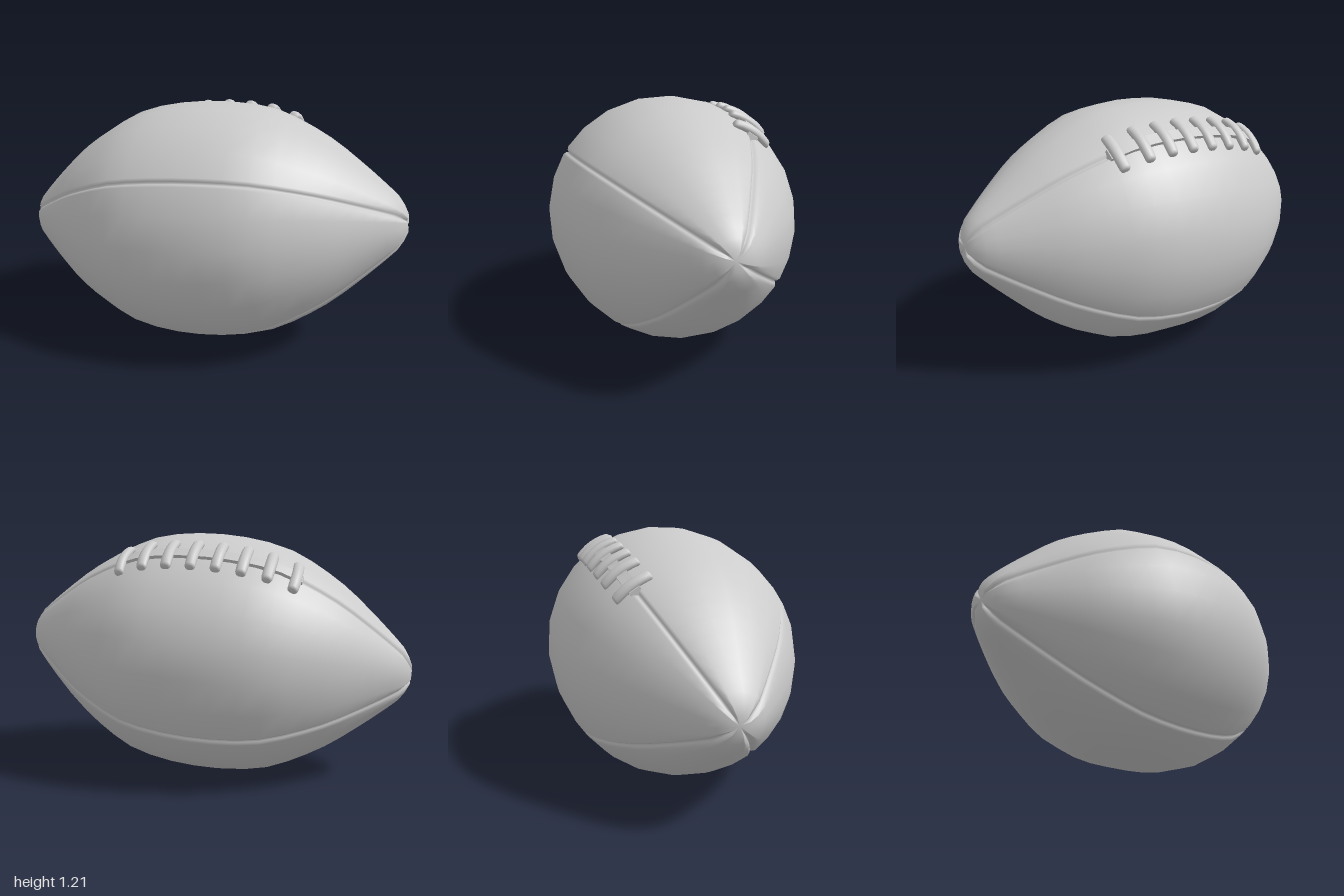
import * as THREE from 'three';
import { mergeVertices } from 'three/addons/utils/BufferGeometryUtils.js';

const material = new THREE.MeshStandardMaterial({ color: 0xcccccc, side: THREE.DoubleSide });

// Half profile (distance along the long axis, radius), mirrored into a full one
const half = [[1.002, 0], [0.995, 0.05], [0.975, 0.092], [0.94, 0.14], [0.775, 0.288],
  [0.6, 0.424], [0.375, 0.547], [0.2, 0.591]];
const profile = new THREE.SplineCurve([
  ...half.map(([s, r]) => new THREE.Vector2(-s, r)),
  new THREE.Vector2(0, 0.605),
  ...half.slice().reverse().map(([s, r]) => new THREE.Vector2(s, r)),
]);
const samples = profile.getSpacedPoints(600);
const radiusAt = (s) => samples.find((p) => p.x >= s).y;

// Four-panel skin, with a rounded groove along each seam
function skinGeometry() {
  const rings = 30, perPanel = 6;
  // [fraction of panel, sideways distance from the seam, depth]
  const columns = [];
  for (let panel = 0; panel < 4; panel++) {
    const base = panel * Math.PI / 2;
    columns.push([base, 0, 0.018], [base, 0.007, 0.008], [base, 0.022, 0]);
    for (let i = 1; i < perPanel; i++) columns.push([base + i / perPanel * Math.PI / 2, 0, 0]);
    const next = base + Math.PI / 2;
    columns.push([next, -0.022, 0], [next, -0.007, 0.008]);
  }
  const n = columns.length, positions = [], indices = [];
  for (let i = 0; i <= rings; i++) {
    // closer rings towards the two tips
    const t = i / rings, u = t - 0.07 * Math.sin(2 * Math.PI * t);
    const p = profile.getPointAt(u), tan = profile.getTangentAt(u);
    const tip = i === 0 || i === rings;
    for (const [base, side, depth] of columns) {
      const r = Math.max(p.y, 0.0001);
      const angle = base + Math.sign(side) * Math.min(Math.abs(side) / r, Math.abs(side) * 10);
      const d = tip ? 0.012 : depth;
      const radius = tip ? 0 : Math.max(p.y - d * tan.x, 0);
      const x = tip ? p.x - Math.sign(p.x) * d : p.x + d * tan.y;
      positions.push(x, radius * Math.cos(angle), radius * Math.sin(angle));
    }
  }
  for (let i = 0; i < rings; i++) {
    for (let j = 0; j < n; j++) {
      const a = i * n + j, b = i * n + (j + 1) % n, c = a + n, d = b + n;
      if (i > 0) indices.push(a, b, c);
      if (i < rings - 1) indices.push(b, d, c);
      else indices.push(a, b, c);
      if (i === 0) indices.push(a, b, d);
    }
  }
  // keep one triangle per column at each tip
  const clean = [];
  for (let k = 0; k < indices.length; k += 3) {
    const tri = indices.slice(k, k + 3);
    const atTip = (v) => v < n || v >= rings * n;
    const first = tri.filter(atTip);
    if (first.length < 2) clean.push(...tri);
  }
  for (let j = 0; j < n; j++) {
    const k = (j + 1) % n;
    const last = (rings - 1) * n;
    clean.push(last + j, last + k, rings * n + j);
  }
  const geometry = new THREE.BufferGeometry();
  geometry.setAttribute('position', new THREE.Float32BufferAttribute(positions, 3));
  geometry.setIndex([...new Map(triples(clean)).values()].flat());
  const merged = mergeVertices(geometry, 1e-5);
  merged.computeVertexNormals();
  return merged;
}

// Triangles keyed by their corners, so repeats drop out
function triples(list) {
  const out = [];
  for (let k = 0; k < list.length; k += 3) {
    const tri = list.slice(k, k + 3);
    out.push([tri.slice().sort((a, b) => a - b).join(), tri]);
  }
  return out;
}

// Plump cross lace with blunt ends, bent over the skin
function laceGeometry() {
  const ends = [[0, 0.1], [0.017, 0.1], [0.023, 0.096], [0.026, 0.088], [0.027, 0.06], [0.027, 0.03]];
  const points = [
    ...ends.map(([r, z]) => new THREE.Vector2(r, -z)),
    new THREE.Vector2(0.027, 0),
    ...ends.slice().reverse().map(([r, z]) => new THREE.Vector2(r, z)),
  ];
  let geometry = new THREE.LatheGeometry(points, 12);
  geometry.rotateX(Math.PI / 2);
  geometry.scale(1, 0.8, 1);
  const pos = geometry.attributes.position;
  for (let i = 0; i < pos.count; i++) pos.setY(i, pos.getY(i) - 1.8 * pos.getZ(i) ** 2);
  geometry.deleteAttribute('uv');
  geometry.deleteAttribute('normal');
  geometry = mergeVertices(geometry, 1e-5);
  geometry.computeVertexNormals();
  return geometry;
}

// Flat strip along the seam, following the curve of the skin
function stripGeometry() {
  const geometry = new THREE.BoxGeometry(0.9, 0.03, 0.056, 18, 1, 1);
  const pos = geometry.attributes.position;
  for (let i = 0; i < pos.count; i++) pos.setY(i, pos.getY(i) + radiusAt(pos.getX(i)));
  geometry.computeVertexNormals();
  return geometry;
}

export function createModel() {
  const model = new THREE.Group();
  model.name = 'ball';
  const add = (geometry, name) => {
    const mesh = new THREE.Mesh(geometry, material);
    mesh.name = name;
    model.add(mesh);
    return mesh;
  };

  add(skinGeometry(), 'panelledSkin');
  add(stripGeometry(), 'laceStrip');

  // Eight cross laces, each square to the skin
  const lace = laceGeometry();
  for (let i = 0; i < 8; i++) {
    const s = (i - 3.5) * 0.119;
    const slope = Math.atan((radiusAt(s + 0.03) - radiusAt(s - 0.03)) / 0.06);
    const mesh = add(lace, 'crossLace' + (i + 1));
    mesh.position.set(s - Math.sin(slope) * 0.016, radiusAt(s) + 0.016 * Math.cos(slope), 0);
    mesh.rotation.z = slope;
  }

  // Laces rolled to the back, long axis tipped slightly
  model.rotation.set(-0.6, 0, 0.087, 'ZYX');
  model.position.y = 0.607;
  const root = new THREE.Group();
  root.name = 'football';
  root.add(model);
  return root;
}
